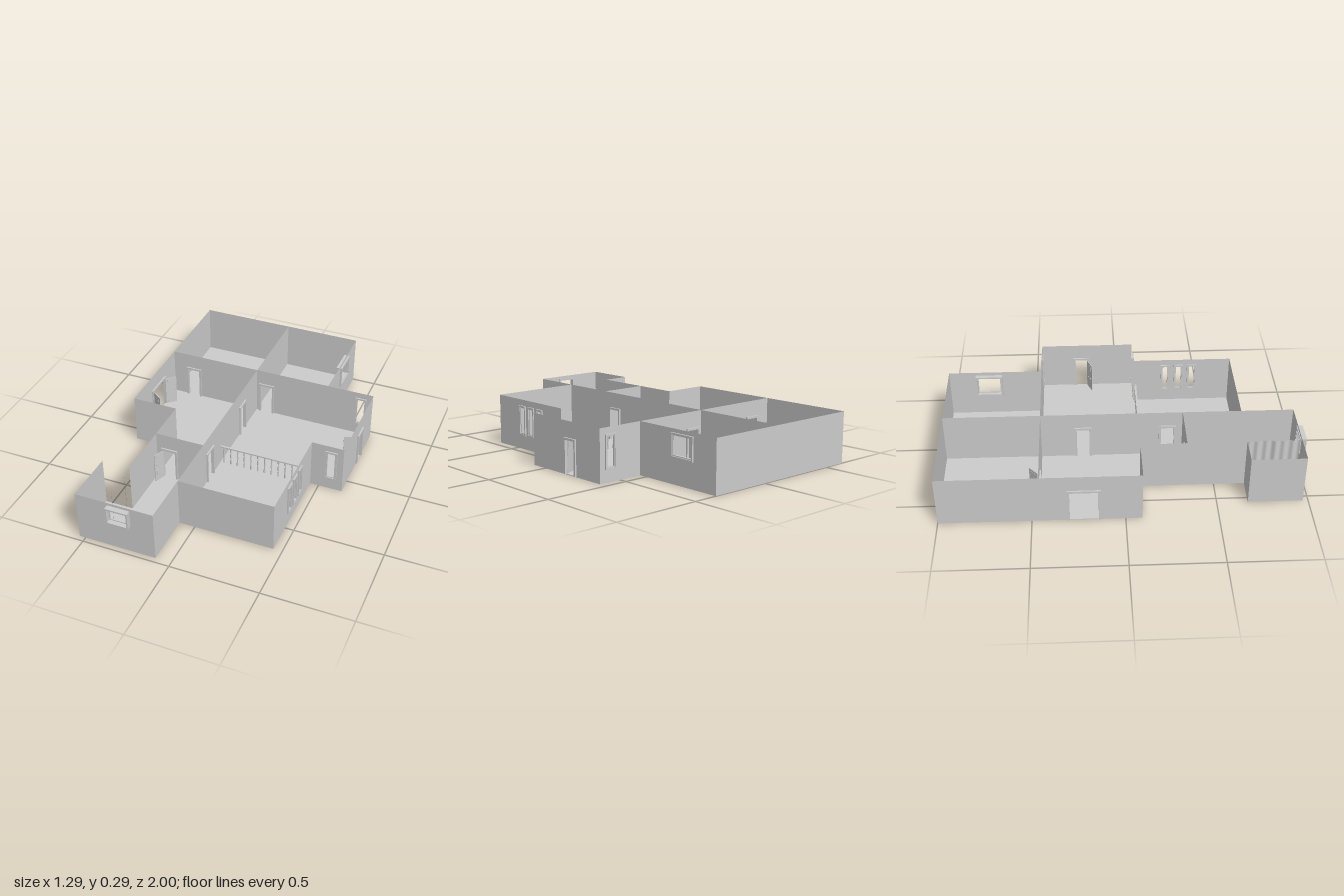
import * as THREE from 'three';

const H = 0.29;
const thin = new THREE.MeshStandardMaterial({ color: 0xcccccc, side: THREE.DoubleSide });
const solid = new THREE.MeshStandardMaterial({ color: 0xcccccc });

function mesh(name, geometry, material = solid) {
  const m = new THREE.Mesh(geometry, material);
  m.name = name;
  return m;
}

function rect(Type, u0, u1, y0, y1) {
  const p = new Type();
  p.moveTo(u0, y0); p.lineTo(u1, y0); p.lineTo(u1, y1); p.lineTo(u0, y1); p.closePath();
  return p;
}

// Rectangular ring with a square section; doors reach the floor and have no bottom bar
function frame(name, { u, y }, w, d0, d1, isDoor) {
  const s = rect(THREE.Shape, u[0], u[1], y[0], y[1]);
  if (isDoor) {
    s.curves = [];
    s.setFromPoints([[u[0], y[0]], [u[0] + w, y[0]], [u[0] + w, y[1] - w], [u[1] - w, y[1] - w],
      [u[1] - w, y[0]], [u[1], y[0]], [u[1], y[1]], [u[0], y[1]]].map(p => new THREE.Vector2(...p)));
  } else {
    s.holes.push(rect(THREE.Path, u[0] + w, u[1] - w, y[0] + w, y[1] - w));
  }
  const g = new THREE.ExtrudeGeometry(s, { depth: d1 - d0, bevelEnabled: false });
  g.translate(0, 0, d0);
  return mesh(name, g);
}

const door = (u0, u1) => ({ u: [u0, u1], y: [0.003, 0.2], door: true });
const win = (u0, u1, y0, y1, d = [-0.008, 0.008]) => ({ u: [u0, u1], y: [y0, y1], d });

// Thin wall from a to b with framed openings measured in world x or z along the wall
function wall(name, a, b, openings = [], material = thin) {
  const g = new THREE.Group();
  g.name = name;
  const dx = b[0] - a[0], dz = b[1] - a[1], len = Math.hypot(dx, dz);
  const start = Math.abs(dx) > Math.abs(dz) ? a[0] : a[1];
  const s = rect(THREE.Shape, 0, len, 0, H);
  for (const o of openings) {
    const q = { u: o.u.map(v => v - start), y: o.y };
    const w = o.door ? 0.012 : 0.009;
    s.holes.push(rect(THREE.Path, q.u[0] + w / 2, q.u[1] - w / 2, q.y[0] + (o.door ? 0 : w / 2), q.y[1] - w / 2));
    const [d0, d1] = o.d || [-0.009, 0.009];
    g.add(frame(o.door ? 'doorFrame' : 'windowFrame', q, w, d0, d1, o.door));
    if (!o.door) {
      const inner = { u: [q.u[0] + w, q.u[1] - w], y: [q.y[0] + w, q.y[1] - w] };
      g.add(frame('windowSash', inner, 0.005, -0.003, 0.003, false));
    }
  }
  g.add(mesh('wallPanel', new THREE.ShapeGeometry(s), material));
  g.position.set(a[0], 0, a[1]);
  g.rotation.y = Math.atan2(-dz, dx);
  return g;
}

// Open door leaf from hinge to free edge, with raised panels and a lever on each face
function leaf(hinge, end) {
  const g = new THREE.Group();
  g.name = 'doorLeaf';
  const dx = end[0] - hinge[0], dz = end[1] - hinge[1], len = Math.hypot(dx, dz), h = 0.18;
  const box = (name, w, hh, d, x, y, z) => {
    const m = mesh(name, new THREE.BoxGeometry(w, hh, d));
    m.position.set(x, y, z);
    g.add(m);
  };
  box('leafBoard', len, h, 0.004, len / 2, 0.005 + h / 2, 0);
  for (const y of [0.05, 0.14]) box('leafPanel', len * 0.62, 0.06, 0.006, len / 2, y, 0);
  box('handleSpindle', 0.003, 0.003, 0.02, len - 0.006, 0.095, 0);
  for (const z of [-0.01, 0.01]) box('handleLever', 0.014, 0.003, 0.003, len - 0.01, 0.095, z);
  g.position.set(hinge[0], 0, hinge[1]);
  g.rotation.y = Math.atan2(-dz, dx);
  return g;
}

// Turned posts under a handrail
function balustrade(x0, x1, z) {
  const g = new THREE.Group();
  g.name = 'balustrade';
  const profile = [[0.005, 0], [0.005, 0.02], [0.0025, 0.03], [0.0045, 0.055], [0.0025, 0.08], [0.0045, 0.09], [0.0045, 0.108]]
    .map(p => new THREE.Vector2(...p));
  const post = new THREE.LatheGeometry(profile, 10);
  const n = 13;
  for (let i = 0; i < n; i++) {
    const m = mesh('baluster', post);
    m.position.set(x0 + (x1 - x0) * (i + 0.5) / n, 0.003, z);
    g.add(m);
  }
  const rail = mesh('handrail', new THREE.BoxGeometry(x1 - x0, 0.008, 0.012));
  rail.position.set((x0 + x1) / 2, 0.114, z);
  g.add(rail);
  return g;
}

export function createModel() {
  const house = new THREE.Group();
  house.name = 'house';

  // Floor slab following the outline of all rooms
  const outline = [[-0.64, -1], [0.36, -1], [0.36, -0.455], [0.635, -0.455], [0.635, 0.095], [0.45, 0.095], [0.45, 0.675],
    [-0.09, 0.675], [-0.09, 0.97], [-0.535, 0.97], [-0.535, 0.67], [-0.375, 0.67], [-0.375, 0.09], [-0.64, 0.09]];
  const floor = new THREE.ExtrudeGeometry(new THREE.Shape(outline.map(([x, z]) => new THREE.Vector2(x, -z))),
    { depth: 0.004, bevelEnabled: false });
  floor.rotateX(-Math.PI / 2);
  house.add(mesh('floor', floor));

  // Outer walls
  house.add(
    wall('backWall', [-0.64, -1], [0.36, -1]),
    wall('rightBedroomWall', [0.36, -1], [0.36, -0.455], [win(-0.845, -0.69, 0.14, 0.27, [-0.01, 0.025])]),
    wall('entranceWall', [0.635, -0.455], [0.635, 0.095], [door(-0.265, -0.17)]),
    wall('hallFrontWall', [0.45, 0.095], [0.635, 0.095], [win(0.53, 0.6, 0.07, 0.255)], solid),
    wall('loungeSideWall', [0.45, 0.095], [0.45, 0.675],
      [win(0.26, 0.315, 0.08, 0.255), win(0.34, 0.397, 0.08, 0.255), win(0.42, 0.478, 0.08, 0.255)]),
    wall('loungeFrontWall', [-0.09, 0.675], [0.45, 0.675]),
    wall('frontWall', [-0.535, 0.97], [-0.09, 0.97], [win(-0.35, -0.222, 0.175, 0.275, [-0.005, 0.03])]),
    wall('alcoveSideWall', [-0.535, 0.67], [-0.535, 0.97]),
    wall('corridorWall', [-0.375, 0.09], [-0.375, 0.67]),
    wall('diningFrontWall', [-0.64, 0.09], [-0.375, 0.09]),
    wall('sideWall', [-0.64, -1], [-0.64, 0.09], [door(-0.31, -0.13)]));

  // Alcove back wall, seen from outside only
  const alcove = wall('alcoveBackWall', [-0.375, 0.67], [-0.535, 0.67], [], solid);
  house.add(alcove);

  // Inner walls
  house.add(
    wall('middleWall', [-0.09, -1], [-0.09, 0.97], [door(-0.265, -0.17), door(0.213, 0.31)]),
    wall('crossWall', [-0.64, -0.455], [0.635, -0.455],
      [door(-0.557, -0.46), door(-0.075, 0.022), win(0.53, 0.6, 0.07, 0.255)]),
    wall('corridorPartition', [-0.375, 0.345], [-0.09, 0.345], [door(-0.347, -0.25)]));

  // Open doors
  const leaves = [
    [[-0.632, -0.3], [-0.583, -0.348]], [[-0.632, -0.142], [-0.572, -0.1]], [[0.628, -0.182], [0.56, -0.153]],
    [[-0.472, -0.465], [-0.418, -0.512]], [[-0.335, 0.35], [-0.36, 0.414]]];
  for (const [hinge, end] of leaves) house.add(leaf(hinge, end));

  house.add(balustrade(-0.09, 0.45, 0.108));

  // Wavy curtain closing the alcove
  const curtain = new THREE.PlaneGeometry(0.29, 0.28, 60, 1);
  const p = curtain.attributes.position;
  for (let i = 0; i < p.count; i++) {
    p.setZ(i, 0.005 * Math.sin(p.getX(i) * 130) + 0.003 * Math.sin(p.getX(i) * 45));
  }
  curtain.rotateY(-Math.PI / 2);
  curtain.translate(-0.367, 0.144, 0.815);
  curtain.computeVertexNormals();
  house.add(mesh('curtain', curtain));

  return house;
}
